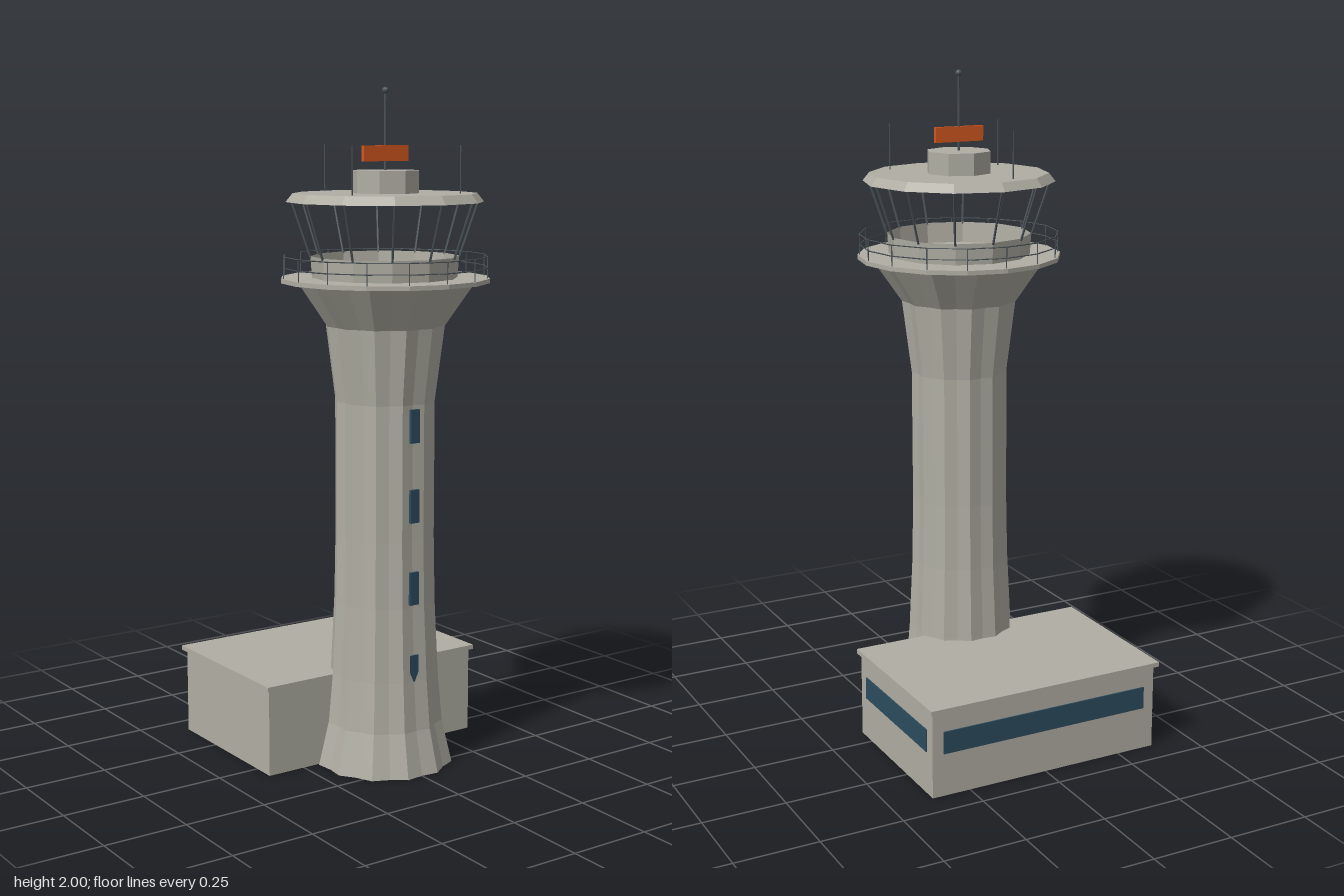
import * as THREE from 'three';

const mat = (name, color) => new THREE.MeshStandardMaterial({ name, color, flatShading: true, side: THREE.DoubleSide });

export function createModel() {
  const model = new THREE.Group();
  model.name = 'controlTower';
  const concrete = mat('concrete', 0xb0aea3);
  const glass = mat('darkGlass', 0x2b4c5e);
  const steel = mat('darkSteel', 0x4a5358);
  const orange = mat('orange', 0xd4581f);

  const add = (parent, name, geometry, material, x = 0, y = 0, z = 0) => {
    const m = new THREE.Mesh(geometry, material);
    m.name = name;
    m.position.set(x, y, z);
    parent.add(m);
    return m;
  };
  const box = (w, h, d) => new THREE.BoxGeometry(w, h, d);
  // thin straight bar between two points
  const bar = (parent, name, a, b, r, sides = 5) => {
    const dir = b.clone().sub(a);
    const m = add(parent, name, new THREE.CylinderGeometry(r, r, dir.length(), sides), steel);
    m.position.copy(a).add(b).multiplyScalar(0.5);
    m.quaternion.setFromUnitVectors(new THREE.Vector3(0, 1, 0), dir.normalize());
  };
  const polar = (r, y, i, n) => {
    const a = (i / n) * Math.PI * 2;
    return new THREE.Vector3(Math.sin(a) * r, y, Math.cos(a) * r);
  };

  // Low building behind the tower, open underneath
  const building = new THREE.Group();
  building.name = 'building';
  model.add(building);
  const walls = box(0.74, 0.262, 0.49);
  const idx = Array.from(walls.index.array);
  idx.splice(18, 6);
  walls.setIndex(idx);
  walls.clearGroups();
  add(building, 'buildingWalls', walls, concrete, 0, 0.131, -0.175);
  add(building, 'buildingRoof', box(0.76, 0.014, 0.515), concrete, 0, 0.268, -0.1775);
  add(building, 'sideWindow', box(0.006, 0.068, 0.415), glass, 0.371, 0.165, -0.178);
  add(building, 'backWindow', box(0.67, 0.068, 0.006), glass, 0, 0.165, -0.421);

  const tower = new THREE.Group();
  tower.name = 'tower';
  tower.position.z = 0.13;
  model.add(tower);

  // Fluted shaft: twelve ridges with shallow grooves between them
  const profile = [[0.207, 0], [0.176, 0.13], [0.163, 0.28], [0.152, 0.5], [0.148, 0.7],
    [0.148, 1.1], [0.176, 1.32], [0.263, 1.447]].map(p => new THREE.Vector2(...p));
  const shaft = new THREE.LatheGeometry(profile, 24);
  const pos = shaft.attributes.position;
  for (let k = 0; k < pos.count; k++) {
    if (Math.floor(k / profile.length) % 2 === 0) {
      pos.setX(k, pos.getX(k) * 0.94);
      pos.setZ(k, pos.getZ(k) * 0.94);
    }
  }
  shaft.computeVertexNormals();
  add(tower, 'shaft', shaft, concrete);

  // Slit windows up the front
  for (const y of [0.31, 0.56, 0.805, 1.04]) {
    add(tower, 'slitWindow', box(0.03, 0.098, 0.009), glass, 0, y, 0.149);
  }

  // Balcony with railing
  add(tower, 'balconyDeck', new THREE.CylinderGeometry(0.305, 0.305, 0.013, 16), concrete, 0, 1.4515);
  const railing = new THREE.Group();
  railing.name = 'railing';
  tower.add(railing);
  for (let i = 0; i < 16; i++) {
    bar(railing, 'railPost', polar(0.298, 1.457, i, 16), polar(0.298, 1.52, i, 16), 0.0018, 4);
    for (const y of [1.488, 1.52]) {
      bar(railing, 'rail', polar(0.298, y, i, 16), polar(0.298, y, i + 1, 16), 0.0018, 4);
    }
  }

  // Cab: open parapet, leaning mullions and roof
  add(tower, 'parapet', new THREE.CylinderGeometry(0.216, 0.212, 0.064, 12, 1, true), concrete, 0, 1.488);
  for (let i = 0; i < 12; i++) {
    bar(tower, 'mullion', polar(0.216, 1.515, i, 12), polar(0.272, 1.682, i, 12), 0.0035);
  }
  add(tower, 'cabRoof', new THREE.CylinderGeometry(0.267, 0.287, 0.025, 12), concrete, 0, 1.6875);
  add(tower, 'roofPlinth', new THREE.CylinderGeometry(0.098, 0.098, 0.066, 8), concrete, 0, 1.732);

  // Mast, radar bar and whip antennas
  add(tower, 'mast', new THREE.CylinderGeometry(0.004, 0.004, 0.23, 8), steel, 0, 1.875);
  add(tower, 'mastBall', new THREE.SphereGeometry(0.01, 10, 8), steel, 0, 1.99);
  add(tower, 'radarBar', box(0.157, 0.045, 0.012), orange, 0, 1.813);
  for (const [x, z] of [[-0.067, -0.213], [-0.19, 0.11], [0.153, 0.155]]) {
    add(tower, 'antenna', new THREE.CylinderGeometry(0.002, 0.002, 0.14, 5), steel, x, 1.767, z);
  }
  return model;
}
